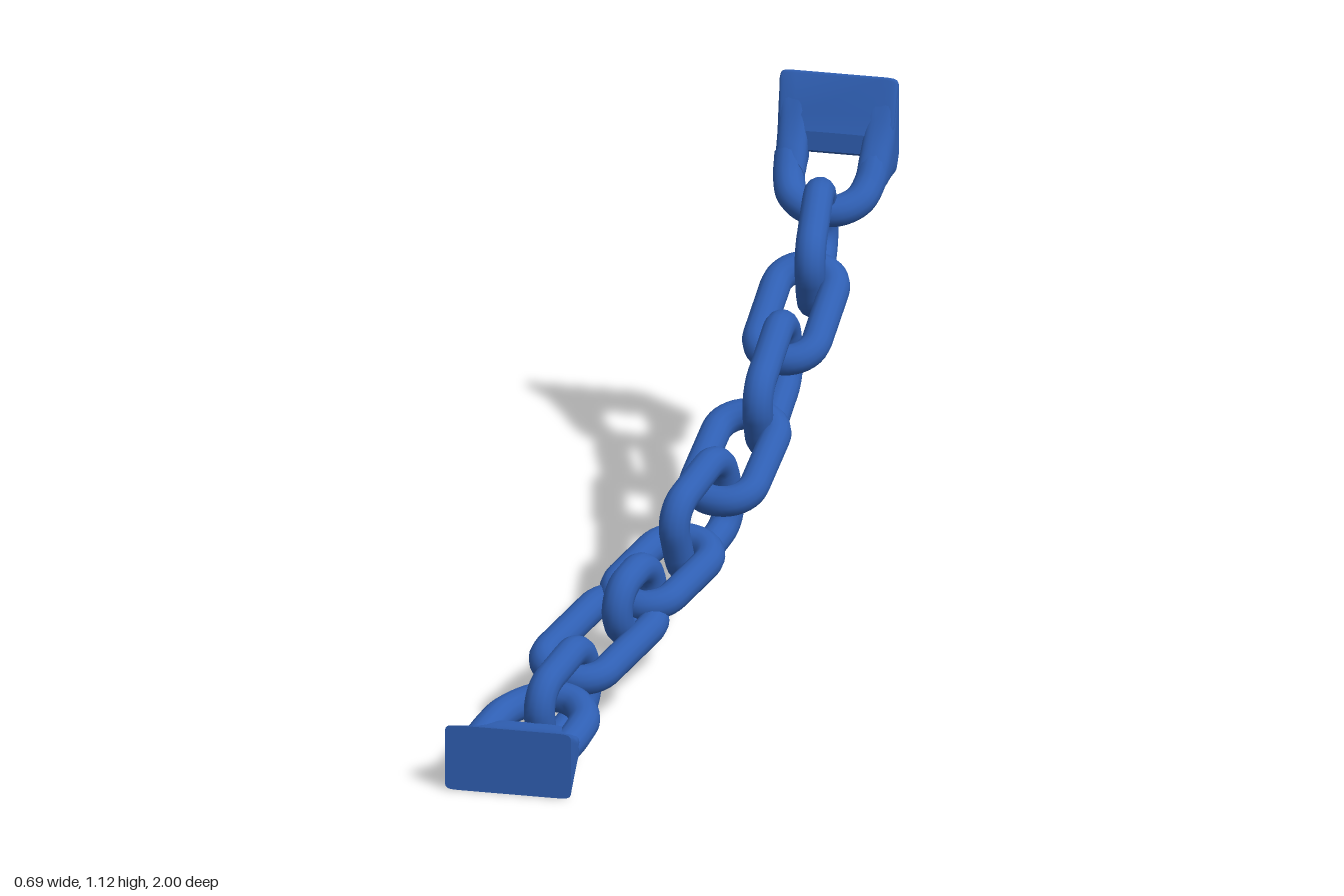
import * as THREE from 'three';

const blue = new THREE.MeshStandardMaterial({ color: 0x2f5fb3 });
blue.name = 'chain blue';
const V = (x, y, z) => new THREE.Vector3(x, y, z);
const TUBE = 0.038;

function addMesh(group, name, geometry) {
  const mesh = new THREE.Mesh(geometry, blue);
  mesh.name = name;
  group.add(mesh);
  return mesh;
}

// Closed rounded-rectangle loop; a and b are outer half length and half width
function linkGeometry(a, b) {
  const A = a - TUBE, B = b - TUBE, r = Math.min(B, 0.07);
  const shape = new THREE.Shape();
  shape.absarc(A - r, B - r, r, 0, Math.PI / 2);
  shape.absarc(-A + r, B - r, r, Math.PI / 2, Math.PI);
  shape.absarc(-A + r, -B + r, r, Math.PI, Math.PI * 1.5);
  shape.absarc(A - r, -B + r, r, Math.PI * 1.5, Math.PI * 2);
  shape.closePath();
  const pts = shape.getSpacedPoints(40).slice(0, 40).map(p => V(p.x, p.y, 0));
  return new THREE.TubeGeometry(new THREE.CatmullRomCurve3(pts, true), 64, TUBE, 14, true);
}

function addLink(group, name, flat, [x, y, z], a, b, yaw, pitch, roll = 0) {
  const mesh = addMesh(group, name, linkGeometry(a, b));
  const d = V(Math.sin(yaw) * Math.cos(pitch), Math.sin(pitch), -Math.cos(yaw) * Math.cos(pitch));
  const side = d.clone().cross(V(0, 1, 0)).normalize().applyAxisAngle(d, roll);
  const up = side.clone().cross(d);
  const m = new THREE.Matrix4();
  if (flat) m.makeBasis(d, side, up.negate());
  else m.makeBasis(d, up, side);
  mesh.quaternion.setFromRotationMatrix(m);
  mesh.position.set(x, y, z);
}

// Lofts squarish sections along +z; each section is [cx, halfX, y0, y1, z, power]
function loft(sections) {
  const N = 32, pos = [], idx = [];
  const ring = ([cx, hx, y0, y1, z, p]) => {
    for (let j = 0; j < N; j++) {
      const t = (j / N) * Math.PI * 2 + Math.PI / N, c = Math.cos(t), s = Math.sin(t);
      pos.push(cx + hx * Math.sign(c) * Math.abs(c) ** (2 / p),
        (y0 + y1) / 2 + (y1 - y0) / 2 * Math.sign(s) * Math.abs(s) ** (2 / p), z);
    }
  };
  sections.forEach(ring);
  for (let i = 0; i < sections.length - 1; i++) {
    for (let j = 0; j < N; j++) {
      const a = i * N + j, b = i * N + (j + 1) % N;
      idx.push(a, b, b + N, a, b + N, a + N);
    }
  }
  // Flat caps with their own vertices
  [[sections[0], true], [sections[sections.length - 1], false]].forEach(([s, flip]) => {
    const o = pos.length / 3;
    ring(s);
    for (let j = 1; j < N - 1; j++) idx.push(o, o + (flip ? j + 1 : j), o + (flip ? j : j + 1));
  });
  const g = new THREE.BufferGeometry();
  g.setAttribute('position', new THREE.Float32BufferAttribute(pos, 3));
  g.setIndex(idx);
  g.computeVertexNormals();
  return g;
}

function loopTube(points) {
  const curve = new THREE.CatmullRomCurve3(points.map(p => V(...p)));
  return new THREE.TubeGeometry(curve, 56, 0.039, 14, false);
}

export function createModel() {
  const root = new THREE.Group();
  root.name = 'chain';

  // Links: name, flat?, centre, half length, half width, yaw, pitch, roll
  const links = [
    ['uprightLink1', false, [-0.118, 0.15, 0.71], 0.162, 0.127, 0.25, 0.2],
    ['flatLink1', true, [-0.07, 0.228, 0.515], 0.2, 0.122, 0.41, 0.27, 0.13],
    ['uprightLink2', false, [-0.003, 0.3, 0.422], 0.122, 0.108, 0.3, 0.25],
    ['flatLink2', true, [0.038, 0.322, 0.288], 0.175, 0.117, 0.42, 0.28, 0.06],
    ['uprightLink3', false, [0.1, 0.41, 0.125], 0.165, 0.142, 0.3, 0.32],
    ['flatLink3', true, [0.14, 0.483, -0.075], 0.186, 0.114, 0.13, 0.42],
    ['uprightLink4', false, [0.185, 0.592, -0.298], 0.188, 0.133, 0.03, 0.36],
    ['flatLink4', true, [0.196, 0.69, -0.513], 0.188, 0.112, 0.08, 0.48],
    ['uprightLink5', false, [0.202, 0.78, -0.718], 0.17, 0.136, -0.1, 0.4],
  ];
  links.forEach(l => addLink(root, ...l));

  // Front anchor: a loop flaring into a flat plate
  const front = new THREE.Group();
  front.name = 'frontAnchor';
  root.add(front);
  addMesh(front, 'frontPlate', loft([
    [-0.172, 0.13, 0.085, 0.142, 0.865, 3],
    [-0.176, 0.145, 0.075, 0.145, 0.9, 4],
    [-0.181, 0.15, 0.065, 0.148, 0.935, 6],
    [-0.186, 0.153, 0.035, 0.163, 0.965, 10],
    [-0.191, 0.157, 0.006, 0.176, 1, 16],
  ]));
  addMesh(front, 'frontLoop', loopTube([
    [-0.285, 0.105, 0.92], [-0.27, 0.117, 0.85], [-0.245, 0.13, 0.78], [-0.19, 0.145, 0.73],
    [-0.13, 0.153, 0.717], [-0.08, 0.147, 0.735], [-0.047, 0.132, 0.79], [-0.052, 0.117, 0.85],
    [-0.067, 0.105, 0.92],
  ]));

  // Back anchor: hanging loop whose legs sweep up into a flat plate
  const back = new THREE.Group();
  back.name = 'backAnchor';
  root.add(back);
  addMesh(back, 'backPlate', loft([
    [0.198, 0.148, 0.91, 1.122, -1, 16],
    [0.198, 0.147, 0.915, 1.12, -0.987, 14],
    [0.198, 0.143, 0.925, 1.03, -0.966, 8],
    [0.197, 0.13, 0.935, 0.985, -0.95, 4],
  ]));
  for (const s of [-1, 1]) {
    addMesh(back, s < 0 ? 'rightFlare' : 'leftFlare', loft([
      [0.198 + s * 0.112, 0.036, 0.9, 1.12, -1, 8],
      [0.198 + s * 0.11, 0.038, 0.875, 1.1, -0.985, 6],
      [0.197 + s * 0.107, 0.039, 0.862, 1.025, -0.963, 3],
      [0.196 + s * 0.103, 0.039, 0.852, 0.965, -0.925, 2.3],
      [0.195 + s * 0.1, 0.036, 0.845, 0.925, -0.9, 2],
    ]));
  }
  const leg = [[0.106, 0.925, -0.945], [0.1, 0.88, -0.903], [0.083, 0.85, -0.865], [0.045, 0.833, -0.838]];
  addMesh(back, 'backLoop', loopTube([
    ...leg.map(([x, y, z]) => [0.193 - x, y, z]),
    [0.193, 0.829, -0.83],
    ...leg.slice().reverse().map(([x, y, z]) => [0.193 + x, y, z]),
  ]));

  return root;
}
